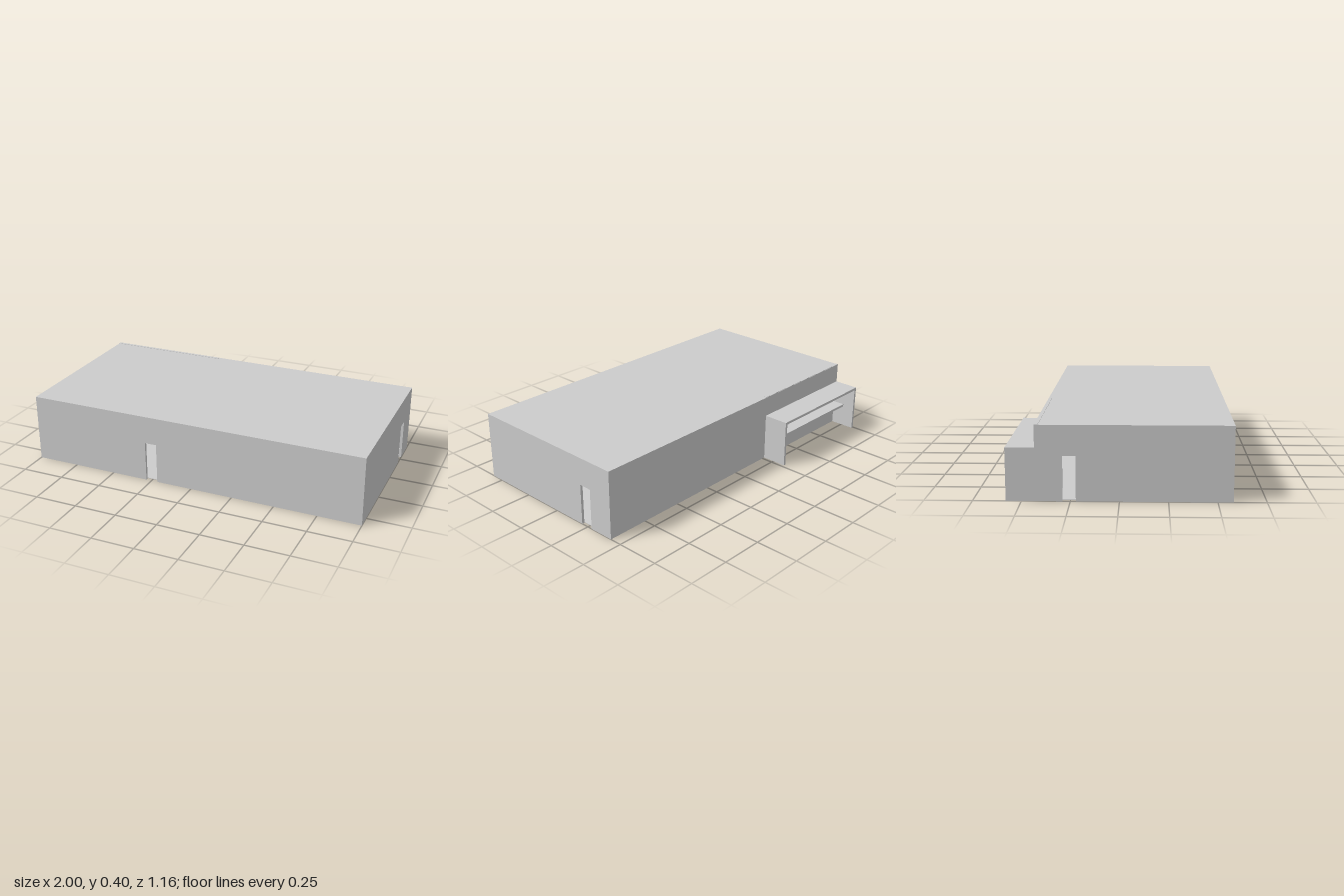
import * as THREE from 'three';

const T = 0.015; // wall thickness
const H = 0.397; // wall height, under the roof slab
const FRONT = 0.58, BACK = -0.43;

export function createModel() {
  const model = new THREE.Group();
  const material = new THREE.MeshStandardMaterial({ color: 0xcccccc });

  const add = (name, geometry) => {
    const mesh = new THREE.Mesh(geometry, material);
    mesh.name = name;
    model.add(mesh);
    return mesh;
  };

  // Box given by its low and high limits on each axis
  const box = (name, x0, x1, y0, y1, z0, z1) =>
    add(name, new THREE.BoxGeometry(x1 - x0, y1 - y0, z1 - z0))
      .position.set((x0 + x1) / 2, (y0 + y1) / 2, (z0 + z1) / 2);

  // Upright wall from a to b, with a doorway cut from its foot
  const doorWall = (name, a, b, d0, d1, doorHeight) => {
    const shape = new THREE.Shape();
    [[a, 0], [d0, 0], [d0, doorHeight], [d1, doorHeight], [d1, 0], [b, 0], [b, H], [a, H]]
      .forEach(([u, v], i) => (i ? shape.lineTo(u, v) : shape.moveTo(u, v)));
    return add(name, new THREE.ExtrudeGeometry(shape, { depth: T, bevelEnabled: false }));
  };

  // Main walls
  doorWall('frontWall', -1, 1, -0.283, -0.213, 0.235).position.z = FRONT - T;
  box('backWall', -1, 1, 0, H, BACK, BACK + T);

  // Side walls run along z: the shape's u axis becomes -z
  const left = doorWall('leftWall', -FRONT + T, -BACK - T, 0.205, 0.28, 0.237);
  left.rotation.y = Math.PI / 2;
  left.position.x = 1 - T;
  const right = doorWall('rightWall', -FRONT + T, -BACK - T, 0.222, 0.29, 0.237);
  right.rotation.y = Math.PI / 2;
  right.position.x = -1;

  // Floor and roof slabs
  box('floor', -1 + T, 1 - T, 0.003, 0.006, BACK + T, FRONT - T);
  box('roof', -1, 1, H - 0.006, 0.398, BACK, FRONT);

  // Hatch panel set against the back wall, rising just past the roof
  box('hatchPanel', -1, -0.267, 0.215, 0.4, BACK + 0.002, BACK + T + 0.005);

  // Rear lean-to with end panels, canopy and counter
  const X0 = -1, X1 = -0.267, Z0 = -0.58;
  for (const x of [X0, X1 - T]) box('endPanel', x, x + T, 0, 0.28 - T, Z0, BACK);
  box('canopy', X0, X1, 0.28 - T, 0.28, Z0, BACK);
  box('counter', X0 + T, X1 - T, 0.13, 0.145, -0.505, BACK);

  return model;
}
